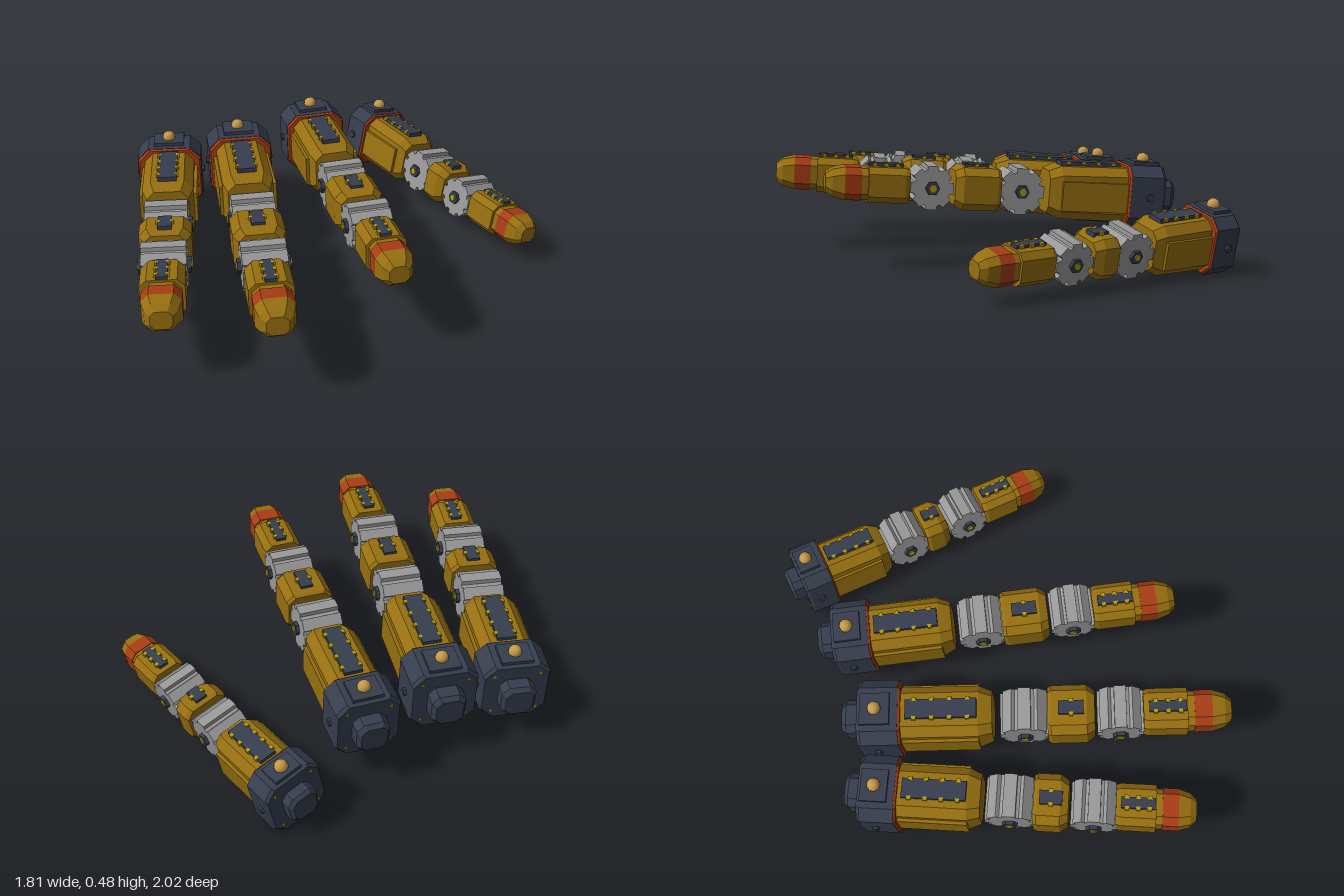
import * as THREE from 'three';

const mat = (name, color) => {
  const m = new THREE.MeshStandardMaterial({ color });
  m.name = name;
  return m;
};

// Faceted solid from chamfered rectangles [z, halfWidth, halfHeight, chamfer]
function loft(sections) {
  const rings = sections.map(([z, w, h, c]) => [
    [w, -h + c], [w, h - c], [w - c, h], [-w + c, h],
    [-w, h - c], [-w, -h + c], [-w + c, -h], [w - c, -h],
  ].map(([x, y]) => [x, y, z]));
  const p = [];
  const tri = (a, b, c) => p.push(...a, ...b, ...c);
  for (let i = 0; i < rings.length - 1; i++) {
    for (let j = 0; j < 8; j++) {
      const k = (j + 1) % 8;
      const [a, b, c, d] = [rings[i][j], rings[i][k], rings[i + 1][k], rings[i + 1][j]];
      tri(a, b, c);
      tri(a, c, d);
    }
  }
  const first = rings[0], last = rings[rings.length - 1];
  for (let j = 1; j < 7; j++) {
    tri(first[0], first[j + 1], first[j]);
    tri(last[0], last[j], last[j + 1]);
  }
  const g = new THREE.BufferGeometry();
  g.setAttribute('position', new THREE.Float32BufferAttribute(p, 3));
  g.computeVertexNormals();
  return g;
}

// Cog with wide teeth, its axle along x
function cog(radius, width, teeth = 8) {
  const pts = [];
  for (let i = 0; i < teeth; i++) {
    for (const [t, r] of [[-0.32, 1], [0.32, 1], [0.4, 0.83], [0.6, 0.83]]) {
      const a = ((i + t) / teeth) * Math.PI * 2;
      pts.push(new THREE.Vector2(Math.cos(a) * r * radius, Math.sin(a) * r * radius));
    }
  }
  const g = new THREE.ExtrudeGeometry(new THREE.Shape(pts), { depth: width, bevelEnabled: false });
  return g.translate(0, 0, -width / 2).rotateY(Math.PI / 2);
}

// Flat-sided hexagonal rod along x
function hexRod(radius, length) {
  const g = new THREE.CylinderGeometry(radius, radius, length, 6).rotateZ(Math.PI / 2).toNonIndexed();
  g.computeVertexNormals();
  return g;
}

export function createModel() {
  const gold = mat('gold armour', 0x966f10);
  const navy = mat('navy steel', 0x363d4d);
  const grey = mat('grey gear', 0x999999);
  const red = mat('rust red', 0xa63c14);
  const brass = mat('bright brass', 0xc89b4a);
  const yellow = mat('yellow rivet', 0xb09a10);

  function finger({ name, w, rear, gap, front, pos, yaw, pitch, roll = 0 }) {
    const group = new THREE.Group();
    group.name = name;
    const add = (part, geo, material, x = 0, y = 0, z = 0) => {
      const m = new THREE.Mesh(geo, material);
      m.name = part;
      m.position.set(x, y, z);
      group.add(m);
      return m;
    };
    const box = (part, material, sx, sy, sz, x, y, z) =>
      add(part, new THREE.BoxGeometry(sx, sy, sz), material, x, y, z);
    // Sections are scaled in width, and along the finger from an origin
    const solid = (part, material, scale, origin, list) =>
      add(part, loft(list.map(([z, a, b, c]) => [z * scale + origin, a * w, b * w, c * w])), material);

    // Mounting block with rear plug
    solid('mountingPlug', navy, rear, 0, [
      [-0.806, 0.06, 0.06, 0.025], [-0.785, 0.075, 0.075, 0.03], [-0.72, 0.075, 0.075, 0.03]]);
    solid('mountingBlock', navy, rear, 0, [
      [-0.726, 0.14, 0.14, 0.05], [-0.71, 0.148, 0.148, 0.05], [-0.546, 0.148, 0.148, 0.05]]);
    solid('redFlange', red, rear, 0, [[-0.546, 0.146, 0.146, 0.05], [-0.536, 0.14, 0.14, 0.05]]);
    const blockZ = -0.645 * rear;
    box('topPlate', navy, 0.14 * w, 0.02, 0.13 * rear, 0, 0.153 * w, blockZ);
    add('brassKnob', new THREE.IcosahedronGeometry(0.03, 1), brass, 0, 0.17 * w, blockZ);
    for (const s of [-1, 1]) {
      add('sideBolt', hexRod(0.018, 0.02), navy, s * 0.15 * w, 0, blockZ);
      for (const t of [-1, 1]) {
        box('rearRivet', yellow, 0.012, 0.012, 0.008, s * 0.1 * w, t * 0.1 * w, -0.726 * rear);
      }
    }

    // Base segment
    solid('baseSegment', gold, rear, 0, [
      [-0.546, 0.115, 0.13, 0.04], [-0.2, 0.115, 0.125, 0.04], [-0.14, 0.095, 0.1, 0.035]]);
    for (const s of [-1, 1]) {
      box('sidePanel', gold, 0.03 * w, 0.14 * w, 0.34 * rear, s * 0.115 * w, -0.01, -0.37 * rear);
    }

    // Navy strip with paired rivets on top of a segment
    const strip = (width, length, y, z, pairs) => {
      box('topStrip', navy, width, 0.03, length, 0, y, z);
      for (let i = 0; i < pairs; i++) {
        const dz = ((i + 0.5) / pairs - 0.5) * length;
        for (const s of [-1, 1]) {
          box('stripRivet', yellow, 0.016, 0.014, 0.018, s * width * 0.5, y + 0.01, z + dz);
        }
      }
    };
    strip(0.085 * w, 0.31 * rear, 0.13 * w, -0.36 * rear, 4);

    // Knuckle gears with axle caps
    for (const [z, r] of [[0, 0.112], [gap, 0.104]]) {
      add('knuckleGear', cog(r * w, 0.188 * w), grey, 0, 0, z);
      add('axle', hexRod(0.034 * w, 0.222 * w), navy, 0, 0, z);
      add('axlePin', hexRod(0.018 * w, 0.234 * w), yellow, 0, 0, z);
    }

    // Middle segment
    const m0 = 0.1 * w, m1 = gap - 0.11 * w, mid = (m0 + m1) / 2;
    solid('middleSegment', gold, 1, 0, [
      [m0, 0.105, 0.092, 0.035], [m0 + 0.015, 0.113, 0.1, 0.035],
      [m1 - 0.035, 0.113, 0.1, 0.035], [m1, 0.09, 0.08, 0.03]]);
    strip(0.06 * w, Math.min(0.11, (m1 - m0) * 0.65), 0.097 * w, mid, 1);

    // Fingertip segment
    solid('tipSegment', gold, front, gap, [
      [0.1, 0.085, 0.078, 0.03], [0.12, 0.092, 0.082, 0.03], [0.29, 0.092, 0.082, 0.03]]);
    solid('tipNeck', gold, front, gap, [[0.285, 0.078, 0.072, 0.03], [0.32, 0.078, 0.072, 0.03]]);
    solid('redBand', red, front, gap, [[0.32, 0.082, 0.076, 0.032], [0.395, 0.082, 0.076, 0.032]]);
    solid('fingertip', gold, front, gap, [
      [0.395, 0.082, 0.076, 0.032], [0.45, 0.068, 0.062, 0.03], [0.48, 0.045, 0.04, 0.02]]);
    strip(0.048 * w, 0.16 * front, 0.08 * w, gap + 0.205 * front, 3);

    const deg = THREE.MathUtils.degToRad;
    group.position.set(...pos);
    group.rotation.set(deg(-pitch), deg(yaw), deg(roll), 'YXZ');
    return group;
  }

  const model = new THREE.Group();
  model.name = 'mechanicalFingers';
  model.add(
    finger({ name: 'littleFinger', w: 1, rear: 0.895, gap: 0.36, front: 0.9,
      pos: [-0.762, 0.262, 0.042], yaw: -4.4, pitch: 4.3 }),
    finger({ name: 'middleFinger', w: 1, rear: 1, gap: 0.415, front: 1,
      pos: [-0.388, 0.3, 0.106], yaw: 0, pitch: 4.3 }),
    finger({ name: 'indexFinger', w: 0.95, rear: 0.91, gap: 0.405, front: 0.96,
      pos: [0.043, 0.325, -0.087], yaw: 5.7, pitch: 4.3 }),
    finger({ name: 'thumb', w: 0.9, rear: 0.73, gap: 0.305, front: 0.885,
      pos: [0.545, 0.14, -0.46], yaw: 25, pitch: 0, roll: -12 }),
  );
  return model;
}
